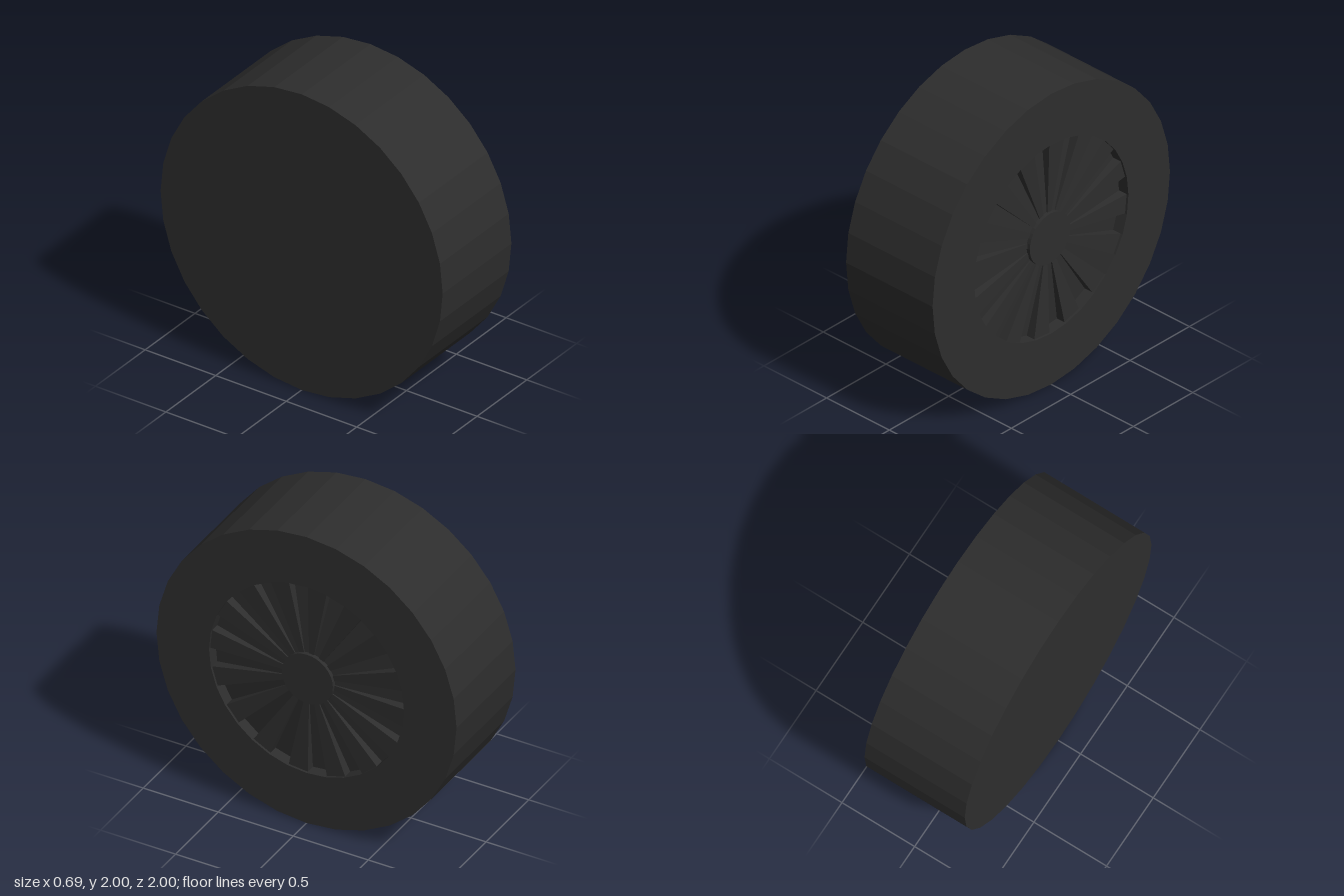
import * as THREE from 'three';
import { mergeGeometries } from 'three/addons/utils/BufferGeometryUtils.js';

const SIDES = 32;
const STEP = (Math.PI * 2) / SIDES;
const HALF = 0.345; // half the tyre width

const rubber = new THREE.MeshStandardMaterial({ color: 0x2d2d2d });
rubber.name = 'darkRubber';

// One normal per face for the faceted look
function faceted(geometry) {
  const flat = geometry.toNonIndexed();
  flat.computeVertexNormals();
  return flat;
}

function lathe(profile) {
  const points = profile.map(([r, y]) => new THREE.Vector2(r, y));
  return faceted(new THREE.LatheGeometry(points, SIDES));
}

// Box bent into a wedge: x runs outward, y along the axle, z round the wheel
function spokeWedge(start) {
  const geometry = new THREE.BoxGeometry(1, 1, 1);
  const p = geometry.attributes.position;
  for (let i = 0; i < p.count; i++) {
    const outer = p.getX(i) > 0;
    const top = p.getY(i) > 0;
    const angle = start + (p.getZ(i) > 0 ? STEP : 0);
    const r = outer ? 0.65 : 0.16;
    const y = top ? (outer ? 0.33 : 0.315) : (outer ? 0.25 : 0.28);
    p.setXYZ(i, r * Math.cos(angle), y, r * Math.sin(angle));
  }
  return faceted(geometry);
}

export function createModel() {
  const wheel = new THREE.Group();
  wheel.name = 'wheel';

  const add = (name, geometry) => {
    const mesh = new THREE.Mesh(geometry, rubber);
    mesh.name = name;
    wheel.add(mesh);
  };

  // Tyre: flat back, tread, front sidewall and wall of the rim opening
  add('tyre', lathe([[0, -HALF], [1, -HALF], [1, HALF], [0.65, HALF], [0.65, 0.27]]));

  // Recessed dish that rises towards the hub
  add('rimDish', lathe([[0.65, 0.27], [0.16, 0.31]]));

  // Raised spokes in every second sector
  const wedges = [];
  for (let i = 0; i < SIDES; i += 2) wedges.push(spokeWedge(i * STEP));
  add('spokes', mergeGeometries(wedges));

  // Hub cap
  add('hubCap', lathe([[0.17, 0.28], [0.17, 0.335], [0, 0.335]]));

  // Turn the axle onto x, with the rim on the left side
  wheel.rotation.z = -Math.PI / 2;
  wheel.position.y = 1;

  const model = new THREE.Group();
  model.name = 'wheelModel';
  model.add(wheel);
  return model;
}
